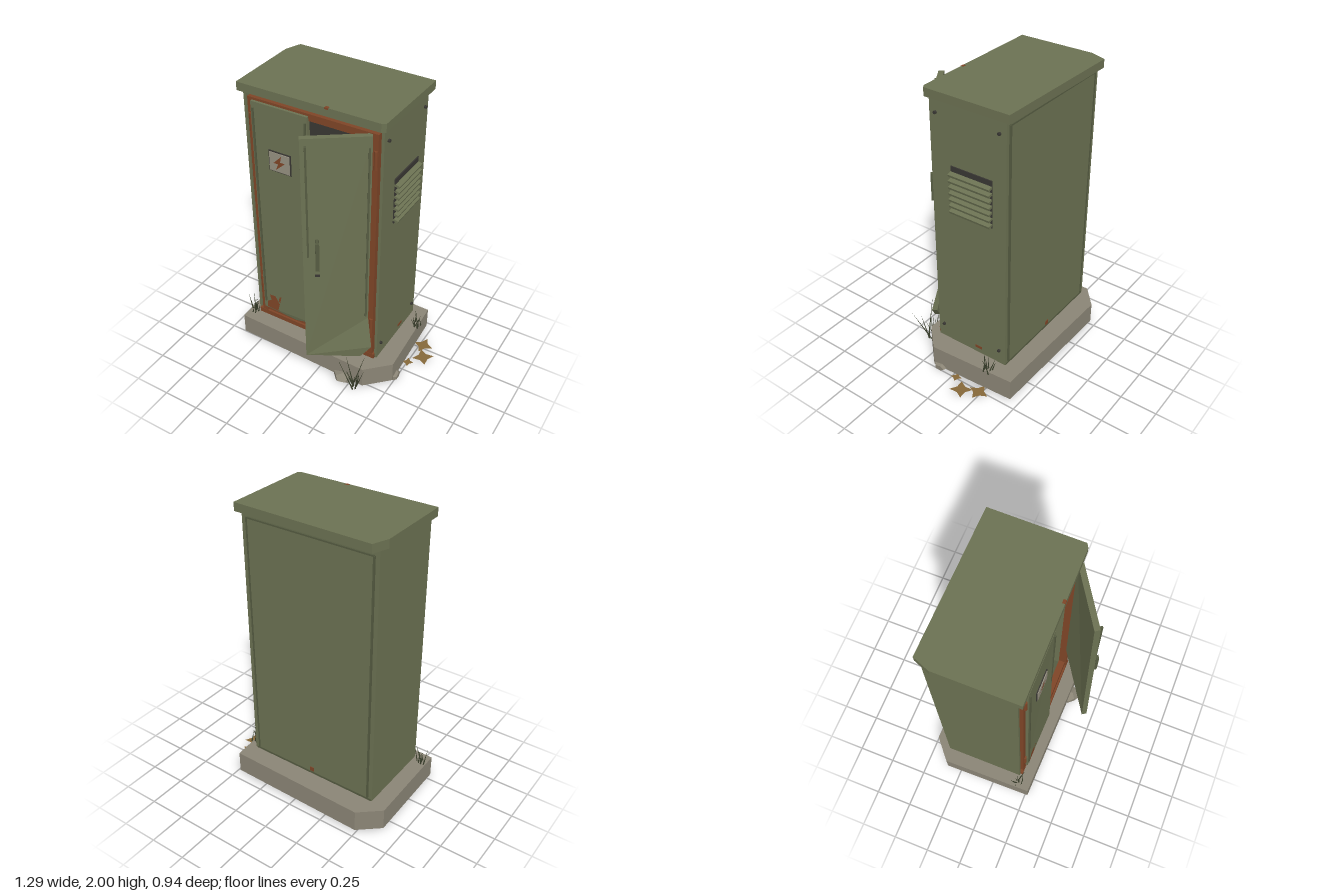
import * as THREE from 'three';

const mat = (name, color, side = THREE.FrontSide) => {
  const m = new THREE.MeshStandardMaterial({ color, side });
  m.name = name;
  return m;
};
const M = {
  green: mat('olive paint', 0x6b7152),
  trim: mat('dark olive trim', 0x555b41),
  concrete: mat('concrete', 0x8a8475),
  rust: mat('rust', 0x7e4527),
  dark: mat('dark metal', 0x393733),
  sign: mat('sign plate', 0x958f80),
  grass: mat('dry grass', 0x3f4530, THREE.DoubleSide),
  leaf: mat('fallen leaf', 0x86693a, THREE.DoubleSide),
};

function add(parent, name, geo, material, x = 0, y = 0, z = 0) {
  const m = new THREE.Mesh(geo, material);
  m.name = name;
  m.position.set(x, y, z);
  parent.add(m);
  return m;
}

// Box given by its limits on each axis
function box(parent, name, material, [x0, x1], [y0, y1], [z0, z1]) {
  return add(parent, name, new THREE.BoxGeometry(x1 - x0, y1 - y0, z1 - z0), material,
    (x0 + x1) / 2, (y0 + y1) / 2, (z0 + z1) / 2);
}

const shapeOf = (pts) => new THREE.Shape(pts.map(([x, y]) => new THREE.Vector2(x, y)));

// Horizontal slab from an x,z outline
function slabFlat(outline, h) {
  const g = new THREE.ExtrudeGeometry(shapeOf(outline.map(([x, z]) => [x, -z])), { depth: h, bevelEnabled: false });
  return g.rotateX(-Math.PI / 2);
}

// Door panel: front contour counter-clockwise, fanned from its first point so it can fold
function panel(pts, t) {
  const pos = [], n = pts.length;
  const back = pts.map(([x, y, z]) => [x, y, z - t]);
  const tri = (a, b, c) => pos.push(...a, ...b, ...c);
  for (let i = 1; i < n - 1; i++) {
    tri(pts[0], pts[i], pts[i + 1]);
    tri(back[0], back[i + 1], back[i]);
  }
  for (let i = 0; i < n; i++) {
    const j = (i + 1) % n;
    tri(pts[i], back[i], back[j]);
    tri(pts[i], back[j], pts[j]);
  }
  const g = new THREE.BufferGeometry();
  g.setAttribute('position', new THREE.Float32BufferAttribute(pos, 3));
  g.computeVertexNormals();
  return g;
}

function seeded(seed) {
  return () => (seed = (seed * 16807) % 2147483647) / 2147483647;
}

function grassTuft(parent, x, y, z, height, count, seed) {
  const rnd = seeded(seed), tuft = new THREE.Group();
  tuft.name = 'grassTuft';
  tuft.position.set(x, y, z);
  for (let i = 0; i < count; i++) {
    const h = height * (0.45 + 0.55 * rnd());
    const g = new THREE.ConeGeometry(0.006, h, 3).translate(0, h / 2, 0);
    const blade = add(tuft, 'grassBlade', g, M.grass, (rnd() - 0.5) * 0.05, 0, (rnd() - 0.5) * 0.05);
    blade.rotation.set((rnd() - 0.5) * 0.6, 0, (rnd() - 0.5) * 0.75);
  }
  parent.add(tuft);
}

export function createModel() {
  const root = new THREE.Group();
  root.name = 'utilityCabinet';

  // Plinth and roof
  add(root, 'plinth', slabFlat([[-0.64, -0.35], [-0.5, -0.47], [0.465, -0.45], [0.5, 0.15], [0.35, 0.295], [-0.63, 0.27]], 0.15), M.concrete, 0, 0.03, 0);
  add(root, 'roof', slabFlat([[-0.57, -0.3], [-0.53, -0.405], [0.415, -0.39], [0.41, 0.2], [0.385, 0.215], [-0.57, 0.215]], 0.055), M.green, 0, 1.945, 0);

  // Outer shell, open at the front
  const Z = [-0.355, 0.18];
  box(root, 'rightWall', M.green, [-0.55, -0.532], [0.215, 1.945], Z);
  box(root, 'leftWall', M.green, [0.372, 0.39], [0.215, 1.945], Z);
  box(root, 'floor', M.trim, [-0.54, 0.38], [0.21, 0.225], Z);
  add(root, 'backWall', new THREE.PlaneGeometry(0.92, 1.73).rotateY(Math.PI), M.green, -0.08, 1.08, -0.35);
  add(root, 'backPanel', new THREE.PlaneGeometry(0.86, 1.68).rotateY(Math.PI), M.green, -0.08, 1.07, -0.358);
  for (const x of [-0.515, 0.355]) box(root, 'backSeam', M.trim, [x - 0.005, x + 0.005], [0.23, 1.91], [-0.362, -0.35]);
  box(root, 'backTopSeam', M.trim, [-0.515, 0.355], [1.905, 1.915], [-0.362, -0.35]);

  // Inner lining and equipment
  const IZ = [-0.32, 0.17];
  box(root, 'liningBack', M.green, [-0.51, 0.36], [0.225, 1.91], [-0.33, -0.31]);
  box(root, 'liningRight', M.green, [-0.51, -0.495], [0.225, 1.91], IZ);
  box(root, 'liningLeft', M.green, [0.345, 0.36], [0.225, 1.91], IZ);
  box(root, 'liningTop', M.green, [-0.51, 0.36], [1.895, 1.91], IZ);
  box(root, 'mountingPlate', M.dark, [-0.42, 0.27], [0.55, 1.81], [-0.29, -0.27]);
  for (const y of [0.86, 1.1, 1.34]) {
    box(root, 'device', M.green, [-0.36, 0.21], [y - 0.02, y + 0.06], [-0.27, -0.13]);
    box(root, 'deviceTop', M.sign, [-0.36, 0.21], [y + 0.06, y + 0.105], [-0.27, -0.15]);
    for (let x = -0.28; x < 0.2; x += 0.11) box(root, 'deviceSwitch', M.dark, [x - 0.015, x + 0.015], [y + 0.005, y + 0.06], [-0.13, -0.12]);
  }

  // Rusted door frame
  const FZ = [0.14, 0.195];
  box(root, 'frameRight', M.rust, [-0.512, -0.47], [0.22, 1.91], FZ);
  box(root, 'frameLeft', M.rust, [0.325, 0.362], [0.22, 1.91], FZ);
  box(root, 'frameTop', M.rust, [-0.512, 0.362], [1.87, 1.915], FZ);
  box(root, 'frameSill', M.rust, [-0.512, 0.362], [0.25, 0.315], [0.14, 0.185]);
  box(root, 'frameSillLip', M.rust, [-0.535, 0.375], [0.212, 0.248], [0.14, 0.197]);
  for (const x of [-0.492, 0.35]) for (const y of [0.5, 1.75]) {
    add(root, 'hinge', new THREE.CylinderGeometry(0.012, 0.012, 0.12, 8), M.rust, x, y, 0.197);
  }

  // Closed door with bent lower corner
  const closed = new THREE.Group();
  closed.name = 'closedDoor';
  root.add(closed);
  add(closed, 'closedDoorPanel', panel([[-0.48, 0.3, 0], [-0.22, 0.285, 0], [-0.09, 0.33, 0.012], [-0.09, 1.9, 0], [-0.48, 1.9, 0]], 0.03), M.green, 0, 0, 0.212);
  box(closed, 'doorRib', M.trim, [-0.47, -0.458], [0.36, 1.86], [0.21, 0.22]);
  box(closed, 'doorRib', M.trim, [-0.108, -0.096], [1.1, 1.86], [0.21, 0.22]);
  box(closed, 'signBorder', M.dark, [-0.365, -0.208], [1.467, 1.608], [0.21, 0.218]);
  box(closed, 'signPlate', M.sign, [-0.358, -0.215], [1.474, 1.601], [0.216, 0.223]);
  const bolt = [[-0.27, 1.59], [-0.328, 1.53], [-0.293, 1.53], [-0.315, 1.483], [-0.245, 1.547], [-0.28, 1.547]];
  add(closed, 'signBolt', new THREE.ShapeGeometry(shapeOf(bolt)), M.rust, 0, 0, 0.225);

  // Rust patches on the closed door
  const patches = [
    [[-0.455, 0.31], [-0.36, 0.3], [-0.335, 0.34], [-0.36, 0.385], [-0.385, 0.43], [-0.43, 0.425], [-0.42, 0.38], [-0.45, 0.36]],
    [[-0.29, 0.305], [-0.25, 0.31], [-0.255, 0.36], [-0.25, 0.42], [-0.3, 0.455], [-0.35, 0.435], [-0.36, 0.39], [-0.31, 0.37]],
    [[-0.19, 0.32], [-0.125, 0.325], [-0.125, 0.39], [-0.19, 0.395], [-0.21, 0.36]],
  ];
  for (const p of patches) add(closed, 'rustPatch', new THREE.ShapeGeometry(shapeOf(p)), M.rust, 0, 0, 0.2155);

  // Open door, twisted, with its lower hinge corner folded outward
  const open = new THREE.Group();
  open.name = 'openDoor';
  open.position.set(0.338, 0, 0.215);
  open.rotation.y = 0.6;
  root.add(open);
  const L = 0.4;
  add(open, 'openDoorPanel', panel([[-L, 0.3, 0.03], [-0.05, 0.28, 0.045], [0.02, 0.37, 0.055], [0, 0.58, 0], [0, 1.91, 0], [-L, 1.9, -0.01]], 0.035), M.green);
  box(open, 'doorRib', M.trim, [-0.375, -0.363], [1.1, 1.86], [-0.006, 0.014]);
  box(open, 'doorRib', M.trim, [-0.022, -0.01], [0.6, 1.84], [-0.004, 0.01]);
  const hx = -0.315;
  box(open, 'handleBar', M.trim, [hx - 0.012, hx + 0.012], [1.03, 1.23], [0.042, 0.06]);
  for (const y of [1.04, 1.22]) {
    add(open, 'handlePost', new THREE.CylinderGeometry(0.012, 0.012, 0.06, 8).rotateX(Math.PI / 2), M.trim, hx, y, 0.025);
  }
  box(open, 'lock', M.dark, [hx - 0.015, hx + 0.015], [0.953, 0.969], [0, 0.022]);

  // Side louvres and bolts
  box(root, 'ventBacking', M.dark, [0.388, 0.397], [1.235, 1.55], [-0.26, 0.035]);
  for (let i = 0; i < 7; i++) {
    const slat = box(root, 'ventSlat', M.green, [0.39, 0.425], [-0.008, 0.008], [-0.26, 0.035]);
    slat.position.y = 1.255 + i * 0.0415;
    slat.rotation.z = -0.3;
  }
  for (const y of [0.32, 1.86]) for (const z of [-0.31, 0.135]) {
    add(root, 'sideBolt', new THREE.CylinderGeometry(0.01, 0.01, 0.016, 8).rotateZ(Math.PI / 2), M.dark, 0.396, y, z);
  }

  // Small rust spots
  box(root, 'rustSpot', M.rust, [0.389, 0.392], [0.25, 0.27], [-0.17, -0.12]);
  box(root, 'rustSpot', M.rust, [-0.1, -0.07], [0.235, 0.265], [-0.361, -0.357]);
  box(root, 'rustSpot', M.rust, [0.03, 0.055], [1.99, 2.0005], [0.198, 0.217]);

  // Stones around the plinth
  for (const [x, y, z, r, s] of [[0.2, 0.04, 0.28, 0.075, 0.55], [0.47, 0.035, 0.1, 0.06, 0.55], [-0.57, 0.025, 0.22, 0.045, 0.55]]) {
    const stone = add(root, 'stone', new THREE.DodecahedronGeometry(r, 0), M.concrete, x, y, z);
    stone.scale.y = s;
    stone.rotation.y = x * 9;
  }

  // Fallen leaves
  for (const [x, z, r, a] of [[0.535, -0.25, 0.07, 0], [0.585, -0.145, 0.075, 0.6], [0.515, -0.05, 0.04, 0.3]]) {
    const star = [];
    for (let i = 0; i < 8; i++) {
      const d = i % 2 ? r * 0.5 : r, t = (i / 8) * Math.PI * 2 + a;
      star.push([d * Math.cos(t), d * Math.sin(t)]);
    }
    const leaf = add(root, 'leaf', new THREE.ShapeGeometry(shapeOf(star)).rotateX(-Math.PI / 2), M.leaf, x, 0.034, z);
    leaf.rotation.z = 0.06;
  }

  // Grass
  grassTuft(root, -0.595, 0.17, 0.19, 0.17, 9, 11);
  grassTuft(root, 0.465, 0.17, -0.27, 0.18, 10, 29);
  grassTuft(root, 0.315, 0.03, 0.335, 0.32, 9, 57);

  return root;
}
